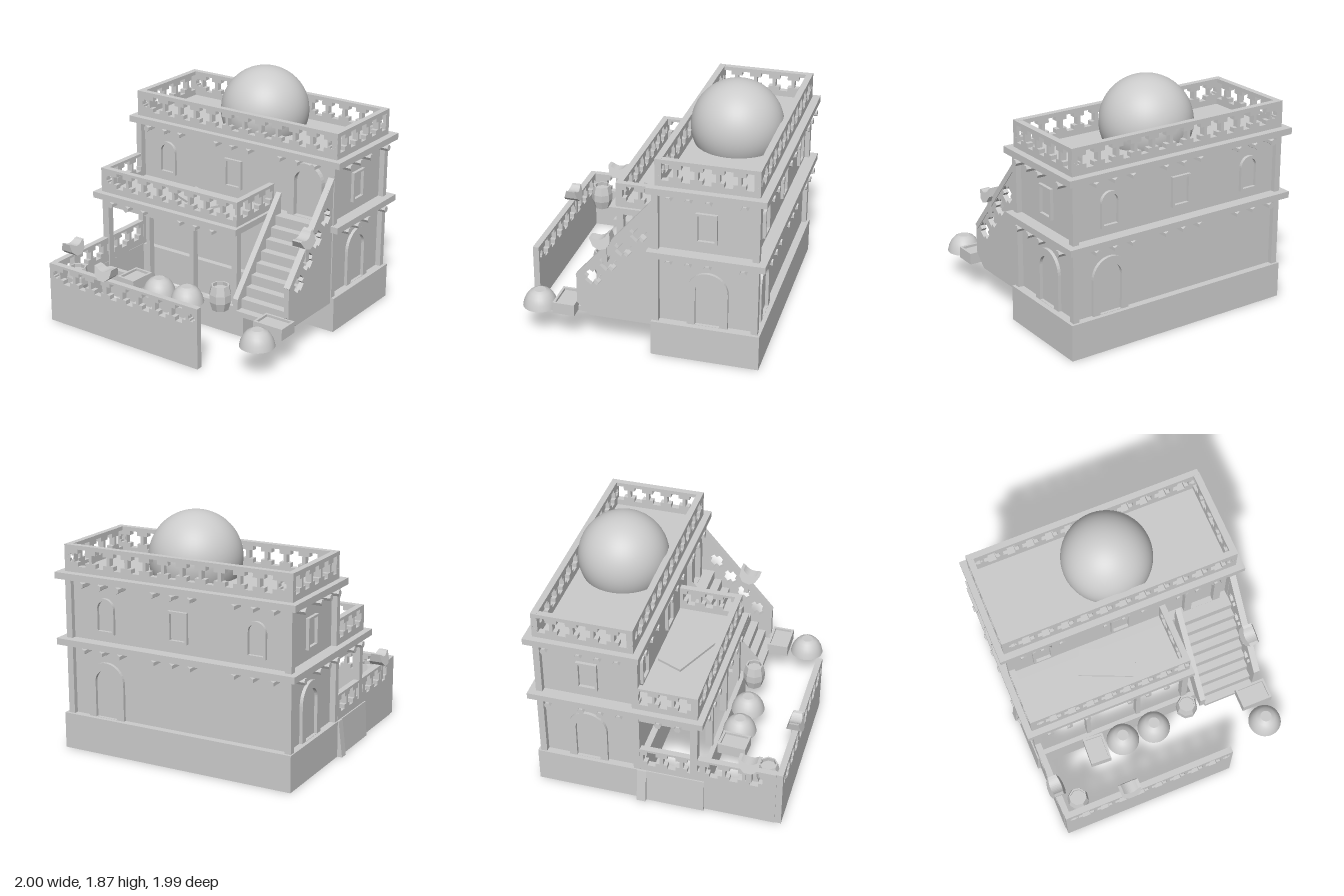
import * as THREE from 'three';

const mat = new THREE.MeshStandardMaterial({ color: 0xcccccc });
const flat = new THREE.MeshStandardMaterial({ color: 0xcccccc, flatShading: true });
const thin = new THREE.MeshStandardMaterial({ color: 0xcccccc, side: THREE.DoubleSide });

export function createModel() {
  const root = new THREE.Group();

  const add = (name, geo, x = 0, y = 0, z = 0, ry = 0, m = mat) => {
    const mesh = new THREE.Mesh(geo, m);
    mesh.name = name;
    mesh.position.set(x, y, z);
    mesh.rotation.y = ry;
    root.add(mesh);
    return mesh;
  };
  // Box given by its limits on each axis
  const block = (name, x0, x1, y0, y1, z0, z1) =>
    add(name, new THREE.BoxGeometry(x1 - x0, y1 - y0, z1 - z0), (x0 + x1) / 2, (y0 + y1) / 2, (z0 + z1) / 2);
  const polygon = (pts) => new THREE.Shape(pts.map(([x, y]) => new THREE.Vector2(x, y)));
  const extrude = (shape, depth) => new THREE.ExtrudeGeometry(shape, { depth, bevelEnabled: false, curveSegments: 10 });
  const range = (n, start, step) => Array.from({ length: n }, (_, i) => start + step * i);

  // Cross-shaped hole
  const cross = (cx, cy, size = 0.128, angle = 0) => {
    const a = size / 2, b = size / 4, c = Math.cos(angle), s = Math.sin(angle);
    return polygon([[-a, -b], [-b, -b], [-b, -a], [b, -a], [b, -b], [a, -b], [a, b], [b, b], [b, a], [-b, a], [-b, b], [-a, b]]
      .map(([x, y]) => [cx + x * c - y * s, cy + x * s + y * c]));
  };
  // Pierced wall along x or z, with smaller crosses near its ends
  const T = 0.048;
  const pierced = (name, axis, from, to, at, y0, y1, centres, cy, small = []) => {
    const shape = polygon([[from, y0], [to, y0], [to, y1], [from, y1]]);
    shape.holes = [...centres.map((c) => cross(c, cy)), ...small.map((c) => cross(c, cy, 0.06))];
    if (axis === 'x') add(name, extrude(shape, T), 0, 0, at);
    else add(name, extrude(shape, T), at + T, 0, 0, -Math.PI / 2);
  };

  // House: hollow plinth, recessed walls with corner pillars, floor slabs
  block('plinthFront', -0.95, 0.96, 0, 0.28, -0.18, -0.14);
  block('plinthBack', -0.95, 0.96, 0, 0.28, -0.955, -0.915);
  block('plinthLeft', 0.92, 0.96, 0, 0.28, -0.915, -0.18);
  block('plinthRight', -0.95, -0.91, 0, 0.28, -0.915, -0.18);
  block('houseWalls', -0.895, 0.892, 0.25, 1.36, -0.897, -0.19);
  block('plinthTop', -0.93, 0.94, 0.24, 0.279, -0.93, -0.16);
  for (const x of [-0.94, 0.885])
    for (const z of [-0.935, -0.191]) block('cornerPillar', x, x + 0.05, 0.27, 1.34, z, z + 0.05);
  block('middleSlab', -0.99, 0.99, 0.825, 0.875, -0.99, -0.115);
  block('roofSlab', -0.99, 0.99, 1.335, 1.385, -0.99, -0.115);

  // Roof parapet and dome
  const long = range(11, -0.754, 0.154), short = range(5, -0.856, 0.154);
  for (const z of [-0.215, -0.93])
    pierced('roofParapet', 'x', -0.94, 0.935, z, 1.385, 1.59, long, 1.495, [-0.86, 0.888]);
  for (const x of [-0.941, 0.888]) pierced('roofParapetSide', 'z', -0.929, -0.168, x, 1.385, 1.589, short, 1.495);
  add('dome', new THREE.SphereGeometry(0.348, 48, 24, 0, Math.PI * 2, 0, Math.PI * 0.63), 0.037, 1.518, -0.548);

  // Terrace over the porch
  block('terraceSlab', -0.99, 0.395, 0.825, 0.875, -0.116, 0.357);
  pierced('terraceParapetFront', 'x', -0.94, 0.37, 0.26, 0.875, 1.072, range(8, -0.754, 0.151), 0.987, [-0.86]);
  for (const x of [-0.94, 0.322]) pierced('terraceParapetSide', 'z', -0.19, 0.26, x, 0.875, 1.072, range(3, -0.1, 0.147), 0.987);
  add('rug', new THREE.BoxGeometry(0.44, 0.02, 0.22), -0.2, 0.885, 0.02, -0.41);

  // Porch: boards, pillars and lintels
  block('porchFrontBoard', -0.92, 0.45, 0, 0.235, 0.295, 0.335);
  block('porchEndBoard', 0.41, 0.45, 0, 0.235, -0.14, 0.295);
  for (const [x0, x1] of [[-0.94, -0.88], [-0.5, -0.465], [-0.075, -0.037], [0.32, 0.37]])
    block('porchPillar', x0, x1, 0.235, 0.77, 0.25, 0.305);
  block('porchLintel', -0.94, 0.37, 0.76, 0.826, 0.25, 0.305);
  block('porchSideLintel', -0.94, -0.88, 0.76, 0.826, -0.14, 0.25);

  // Yard walls; the porch side wall leans and ends in a buttress
  pierced('yardWallFront', 'x', -0.935, 0.48, 0.907, 0, 0.483, range(8, -0.765, 0.154), 0.4, [-0.87, 0.43]);
  pierced('yardWallSide', 'z', 0.36, 0.907, -0.94, 0, 0.483, range(3, 0.43, 0.154), 0.4);
  pierced('porchSideFence', 'z', -0.14, 0.36, -0.94, 0.24, 0.483, range(3, -0.05, 0.154), 0.4);
  add('porchSideWall', extrude(polygon([[-0.965, 0], [-0.89, 0], [-0.89, 0.28], [-0.95, 0.28]]), 0.5), 0, 0, -0.14);
  add('buttress', extrude(polygon([[-0.99, 0], [-0.9, 0], [-0.9, 0.28], [-0.957, 0.28]]), 0.07), 0, 0, -0.16);

  // Six-sided beam ends under the slabs
  const beam = (x, y, z, alongX) => {
    const g = new THREE.CylinderGeometry(0.026, 0.026, 0.12, 6);
    if (alongX) g.rotateZ(Math.PI / 2); else g.rotateX(Math.PI / 2);
    add('beamEnd', g, x, y, z, 0, flat);
  };
  const beamX = [-0.81, -0.65, -0.5, -0.145, 0.005, 0.16, 0.45, 0.605, 0.76];
  for (const y of [0.8, 1.308]) {
    for (const x of beamX) {
      beam(x, y, -0.94, false);
      if (y > 1) beam(x, y, -0.165, false);
      else if (x < 0.3) beam(x, y, 0.308, false);
    }
    for (const z of [-0.28, -0.425, -0.57, -0.83]) {
      beam(0.94, y, z, true);
      beam(-0.94, y, z, true);
    }
  }
  for (const z of [0.02, 0.17]) beam(-0.94, 0.8, z, true);

  // Door and window surrounds, arched or square
  const opening = (w, h, arched) => {
    const r = w / 2, s = new THREE.Shape();
    s.moveTo(-r, 0);
    s.lineTo(r, 0);
    if (arched) s.absarc(0, h - r, r, 0, Math.PI, false);
    else s.lineTo(r, h).lineTo(-r, h);
    s.closePath();
    return s;
  };
  const surround = (name, w, h, rim, arched, sill, x, y, z, ry, depth = 0.026) => {
    const s = opening(w, h, arched), hole = opening(w - 2 * rim, h - rim - sill, arched);
    s.holes.push(new THREE.Path(hole.getPoints(10).map((p) => p.setY(p.y + sill))));
    add(name, extrude(s, depth), x, y, z, ry);
  };
  const door = (x, y, z, ry, depth) => surround('doorSurround', 0.305, 0.435, 0.06, true, 0.002, x, y, z, ry, depth);
  const archWindow = (x, z, ry) => surround('archedWindow', 0.16, 0.27, 0.02, true, 0.02, x, 0.94, z, ry);
  const squareWindow = (x, z, ry) => surround('squareWindow', 0.16, 0.235, 0.018, false, 0.018, x, 0.957, z, ry);
  const front = -0.191, back = -0.896;
  door(0.67, 0.875, front, 0, 0.045);
  archWindow(-0.65, front, 0);
  squareWindow(-0.007, front, 0);
  door(0.605, 0.28, back, Math.PI);
  archWindow(0.605, back, Math.PI);
  squareWindow(-0.015, back, Math.PI);
  archWindow(-0.65, back, Math.PI);
  for (const [x, ry] of [[0.891, Math.PI / 2], [-0.894, -Math.PI / 2]]) {
    door(x, 0.28, -0.555, ry);
    squareWindow(x, -0.54, ry);
  }

  // Stairs with a plain stringer and a pierced balustrade
  for (let i = 0; i < 9; i++) {
    const z = 0.455 - 0.064 * i, y = 0.2 + 0.075 * i;
    block('stairStep', 0.47, 0.89, Math.max(y, 0.235), y + 0.075, z - 0.085, z);
  }
  add('stairStringer', extrude(polygon([[0.44, 0.24], [0.44, 0.36], [-0.13, 1.04], [-0.13, 0.78], [0.33, 0.24]]), 0.045), 0.475, 0, 0, -Math.PI / 2);
  const side = polygon([[0.44, 0.57], [-0.14, 1.25], [-0.14, 0.235], [0.34, 0.235], [0.44, 0.33]]);
  side.holes = range(4, 0.08, 0.18).map((t) =>
    cross(0.44 - 0.652 * t - 0.08, 0.57 + 0.758 * t - 0.068, 0.125, -0.861));
  add('stairBalustrade', extrude(side, 0.04), 0.927, 0, 0, -Math.PI / 2);
  add('stairHandrail', new THREE.BoxGeometry(0.05, 0.04, 0.9), 0.907, 0.898, 0.135).rotation.x = 0.861;

  // Saddle-shaped lamps on the walls, narrower towards the top
  const lamp = (x, y, z, ry, tilt) => {
    const s = new THREE.Shape();
    s.moveTo(-0.03, 0);
    s.lineTo(0.03, 0).lineTo(0.07, 0.035).lineTo(0.083, 0.1);
    s.lineTo(0.06, 0.095).quadraticCurveTo(0, 0.045, -0.06, 0.095);
    s.lineTo(-0.083, 0.1).lineTo(-0.07, 0.035).closePath();
    const g = extrude(s, 0.13);
    g.translate(0, 0, -0.065);
    const p = g.attributes.position;
    for (let i = 0; i < p.count; i++) p.setZ(i, p.getZ(i) * (1 - 4.5 * p.getY(i)));
    g.computeVertexNormals();
    g.rotateZ(tilt);
    add('lamp', g, x, y, z, ry);
    add('lampPost', new THREE.BoxGeometry(0.04, 0.13, 0.056), x, y - 0.06, z, ry);
  };
  lamp(-0.39, 0.485, 0.925, 0, 0);
  lamp(-0.915, 0.485, 0.7, Math.PI / 2, 0);
  lamp(0.91, 0.835, 0.215, Math.PI / 2, 0.35);

  // Heaped baskets, open below, flat on top
  const heap = [[0.132, 0], [0.121, 0.045], [0.1, 0.085], [0.075, 0.112], [0.045, 0.127], [0.044, 0.127], [0, 0.127]]
    .map(([x, y]) => new THREE.Vector2(x, y));
  for (const [x, z] of [[-0.255, 0.46], [0.015, 0.46], [0.867, 0.755]])
    add('basketHeap', new THREE.LatheGeometry(heap, 28), x, 0.23, z, 0, thin);

  // Eight-sided open barrels
  const stave = [[0, 0], [0.065, 0], [0.086, 0.07], [0.086, 0.13], [0.07, 0.2], [0.058, 0.2], [0.06, 0.17], [0, 0.17]]
    .map(([x, y]) => new THREE.Vector2(x, y));
  for (const [x, z] of [[-0.78, 0.81], [0.31, 0.435]])
    add('barrel', new THREE.LatheGeometry(stave, 8), x, 0.24, z, 0.25, flat);

  // Open crates
  const crate = (x, z, w, d, ry) => {
    const rim = opening(w, d, false), hole = opening(w - 0.036, d - 0.036, false);
    rim.holes.push(new THREE.Path(hole.getPoints().map((p) => p.setY(p.y + 0.018))));
    const g = extrude(rim, 0.09);
    g.translate(0, -d / 2, 0).rotateX(-Math.PI / 2);
    add('crateSides', g, x, 0.24, z, ry);
    add('crateFill', new THREE.BoxGeometry(w - 0.03, 0.07, d - 0.03), x, 0.276, z, ry);
  };
  crate(-0.485, 0.475, 0.165, 0.22, -0.05);
  crate(0.86, 0.53, 0.25, 0.17, 0);

  return root;
}
